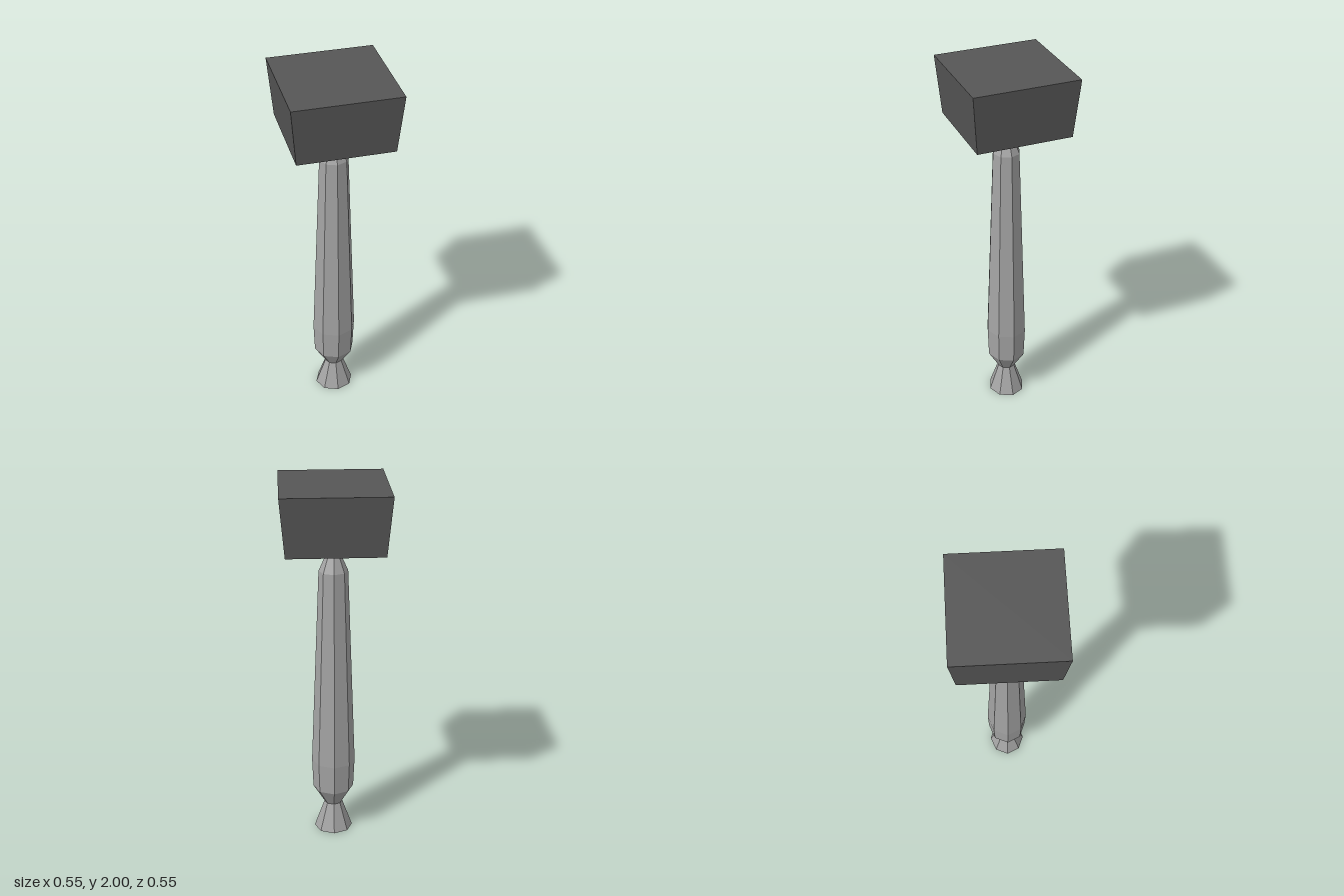
import * as THREE from 'three';

const headGrey = new THREE.MeshStandardMaterial({ color: 0x565656 });
headGrey.name = 'darkGrey';
headGrey.flatShading = true;
const handleGrey = new THREE.MeshStandardMaterial({ color: 0xa4a4a4 });
handleGrey.name = 'lightGrey';
handleGrey.flatShading = true;

export function createModel() {
  const model = new THREE.Group();
  model.name = 'mallet';

  // Eight-sided turned handle with flared ends, slightly flattened in depth
  const profile = [
    [0, 0], [0.106, 0], [0.05, 0.16], [0.112, 0.26], [0.119, 0.43],
    [0.077, 1.54], [0.038, 1.63], [0.069, 1.69], [0, 1.69],
  ].map(([r, y]) => new THREE.Vector2(r, y));
  const handle = new THREE.Mesh(new THREE.LatheGeometry(profile, 8), handleGrey);
  handle.name = 'handle';
  handle.scale.z = 0.94;
  model.add(handle);

  // Square block head, wider at the top
  const headBottom = 1.69, headTop = 2;
  const head = new THREE.Mesh(
    new THREE.CylinderGeometry(0.277 * Math.SQRT2, 0.251 * Math.SQRT2, headTop - headBottom, 4, 1, false, Math.PI / 4),
    headGrey,
  );
  head.name = 'head';
  head.position.y = (headBottom + headTop) / 2;
  model.add(head);

  return model;
}
